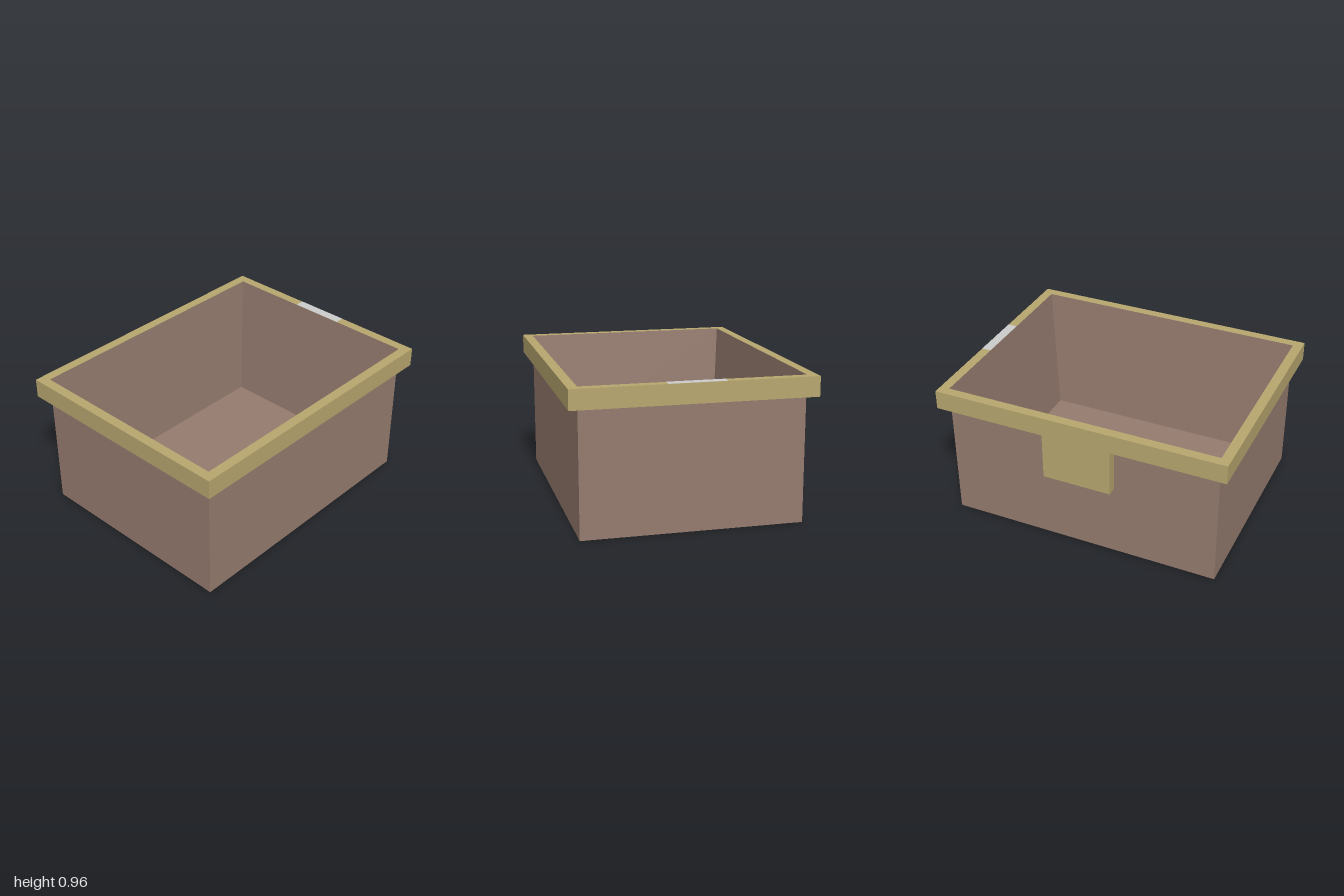
import * as THREE from 'three';

const BODY_X = 0.935, BODY_Z = 0.72, RIM_X = 1, RIM_Z = 0.785;
const TOP = 0.96, RIM_BOTTOM = 0.83, FLOOR = 0.06;

const material = (color) => new THREE.MeshStandardMaterial({ color, flatShading: true });

function part(name, geometry, mat) {
  const mesh = new THREE.Mesh(geometry, mat);
  mesh.name = name;
  return mesh;
}

// Joins rectangular sections [halfX, y, halfZ] into one flat-sided surface
function loftRectangles(sections) {
  const corners = sections.map(([x, y, z]) => [[x, y, z], [x, y, -z], [-x, y, -z], [-x, y, z]]);
  const positions = [];
  for (let i = 0; i < corners.length - 1; i++) {
    for (let j = 0; j < 4; j++) {
      const k = (j + 1) % 4;
      const a = corners[i][j], b = corners[i][k], c = corners[i + 1][k], d = corners[i + 1][j];
      positions.push(...a, ...b, ...c, ...a, ...c, ...d);
    }
  }
  const geometry = new THREE.BufferGeometry();
  geometry.setAttribute('position', new THREE.Float32BufferAttribute(positions, 3));
  geometry.computeVertexNormals();
  return geometry;
}

function rectangle(PathType, x, z) {
  return new PathType([[-x, -z], [x, -z], [x, z], [-x, z]].map(([a, b]) => new THREE.Vector2(a, b)));
}

export function createModel() {
  const group = new THREE.Group();
  group.name = 'openBox';
  const brown = material(0x957b6e);
  const olive = material(0xb7a66e);

  // Tub: underside, straight outer walls, tapered inner walls, floor
  group.add(part('tub', loftRectangles([
    [0, 0, 0],
    [BODY_X, 0, BODY_Z],
    [BODY_X, TOP, BODY_Z],
    [0.87, FLOOR, 0.67],
    [0, FLOOR, 0],
  ]), brown));

  // Rim band around the top
  const outline = rectangle(THREE.Shape, RIM_X, RIM_Z);
  outline.holes.push(rectangle(THREE.Path, BODY_X, BODY_Z));
  const rim = new THREE.ExtrudeGeometry(outline, { depth: TOP - RIM_BOTTOM, bevelEnabled: false });
  rim.rotateX(-Math.PI / 2).translate(0, RIM_BOTTOM, 0);
  group.add(part('rim', rim, olive));

  // Flap hanging from the rim at the back
  const flap = new THREE.BoxGeometry(0.47, RIM_BOTTOM - 0.51, RIM_Z - BODY_Z);
  flap.translate(0, (RIM_BOTTOM + 0.51) / 2, -(RIM_Z + BODY_Z) / 2);
  group.add(part('backFlap', flap, olive));

  // Grey inlay on top of the left rim
  const inlay = new THREE.PlaneGeometry(RIM_X - BODY_X, 0.37);
  inlay.rotateX(-Math.PI / 2).translate((RIM_X + BODY_X) / 2, TOP + 0.001, -0.005);
  group.add(part('rimInlay', inlay, material(0xcccccc)));

  return group;
}
